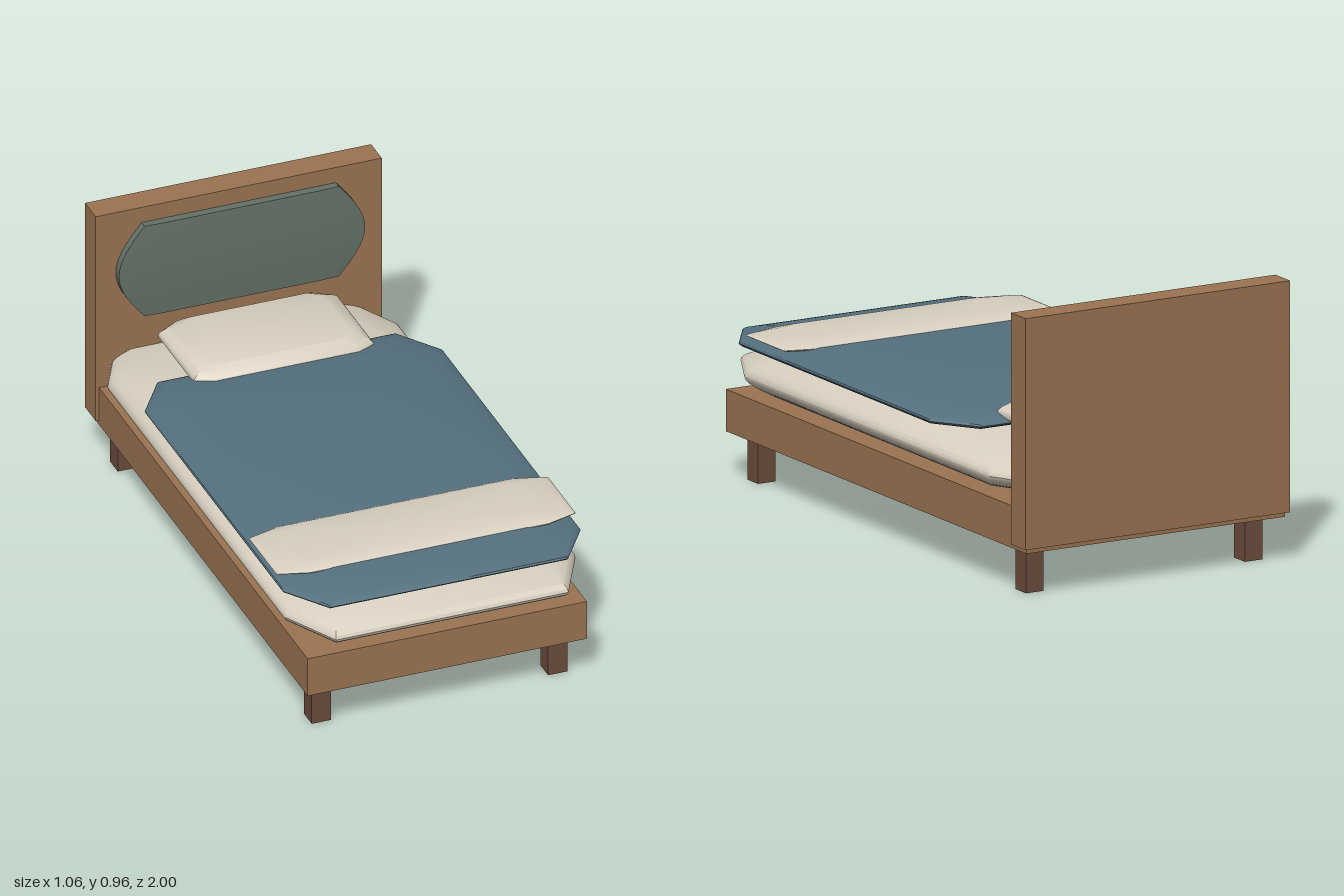
import * as THREE from 'three';
import { toCreasedNormals } from 'three/addons/utils/BufferGeometryUtils.js';

const paint = (name, color) => {
  const m = new THREE.MeshStandardMaterial({ color });
  m.name = name;
  return m;
};

// Soft slab: an octagonal plan that bulges outward at mid height
function cushionGeometry(width, height, depth) {
  const plan = [[1, 0.8], [0.8, 1], [-0.8, 1], [-1, 0.8], [-1, -0.8], [-0.8, -1], [0.8, -1], [1, -0.8]];
  const n = plan.length, steps = 14;
  const pos = [], index = [];
  for (let j = 0; j <= steps; j++) {
    const u = (j / steps) * 2 - 1;
    const s = 0.79 + 0.21 * Math.cos(u * Math.PI / 2);
    for (const [x, z] of plan) pos.push(x * s * width / 2, u * height / 2, z * s * depth / 2);
  }
  for (let j = 0; j < steps; j++) {
    for (let i = 0; i < n; i++) {
      const a = j * n + i, b = j * n + (i + 1) % n;
      index.push(a, a + n, b, b, a + n, b + n);
    }
  }
  // flat bottom and top
  const bottom = pos.length / 3, top = bottom + 1, last = steps * n;
  pos.push(0, -height / 2, 0, 0, height / 2, 0);
  for (let i = 0; i < n; i++) {
    const k = (i + 1) % n;
    index.push(bottom, i, k, top, last + k, last + i);
  }
  const g = new THREE.BufferGeometry();
  g.setAttribute('position', new THREE.Float32BufferAttribute(pos, 3));
  g.setIndex(index);
  return toCreasedNormals(g, 0.5);
}

export function createModel() {
  const model = new THREE.Group();
  model.name = 'bed';

  const wood = paint('wood', 0x9a7352);
  const darkWood = paint('dark wood', 0x6b4c3e);
  const linen = paint('cream linen', 0xd8cfbf);
  const blue = paint('blue blanket', 0x54707e);
  const green = paint('green upholstery', 0x637168);

  // Every part is given by its extents: [min, max] along x, y and z
  const add = (name, make, material, [x0, x1], [y0, y1], [z0, z1]) => {
    const mesh = new THREE.Mesh(make(x1 - x0, y1 - y0, z1 - z0), material);
    mesh.position.set((x0 + x1) / 2, (y0 + y1) / 2, (z0 + z1) / 2);
    mesh.name = name;
    model.add(mesh);
  };
  const box = (w, h, d) => new THREE.BoxGeometry(w, h, d);

  // Wooden frame
  add('bedBase', box, wood, [-0.495, 0.495], [0.155, 0.298], [-0.985, 0.955]);
  add('headboard', box, wood, [-0.507, 0.507], [0.172, 0.958], [-1, -0.905]);
  for (const x of [-0.419, 0.419]) {
    for (const z of [-0.878, 0.852]) {
      add('leg', box, darkWood, [x - 0.034, x + 0.034], [0, 0.156], [z - 0.034, z + 0.034]);
    }
  }

  // Upholstery and bedding
  add('headboardCushion', cushionGeometry, green, [-0.436, 0.436], [0.554, 0.9], [-0.915, -0.871]);
  add('mattress', cushionGeometry, linen, [-0.515, 0.515], [0.296, 0.458], [-0.98, 1]);
  add('blanket', cushionGeometry, blue, [-0.528, 0.528], [0.448, 0.527], [-0.57, 0.97]);
  add('pillow', cushionGeometry, linen, [-0.32, 0.32], [0.46, 0.555], [-0.86, -0.46]);
  add('foldedThrow', cushionGeometry, linen, [-0.53, 0.53], [0.508, 0.542], [0.49, 0.797]);

  return model;
}
